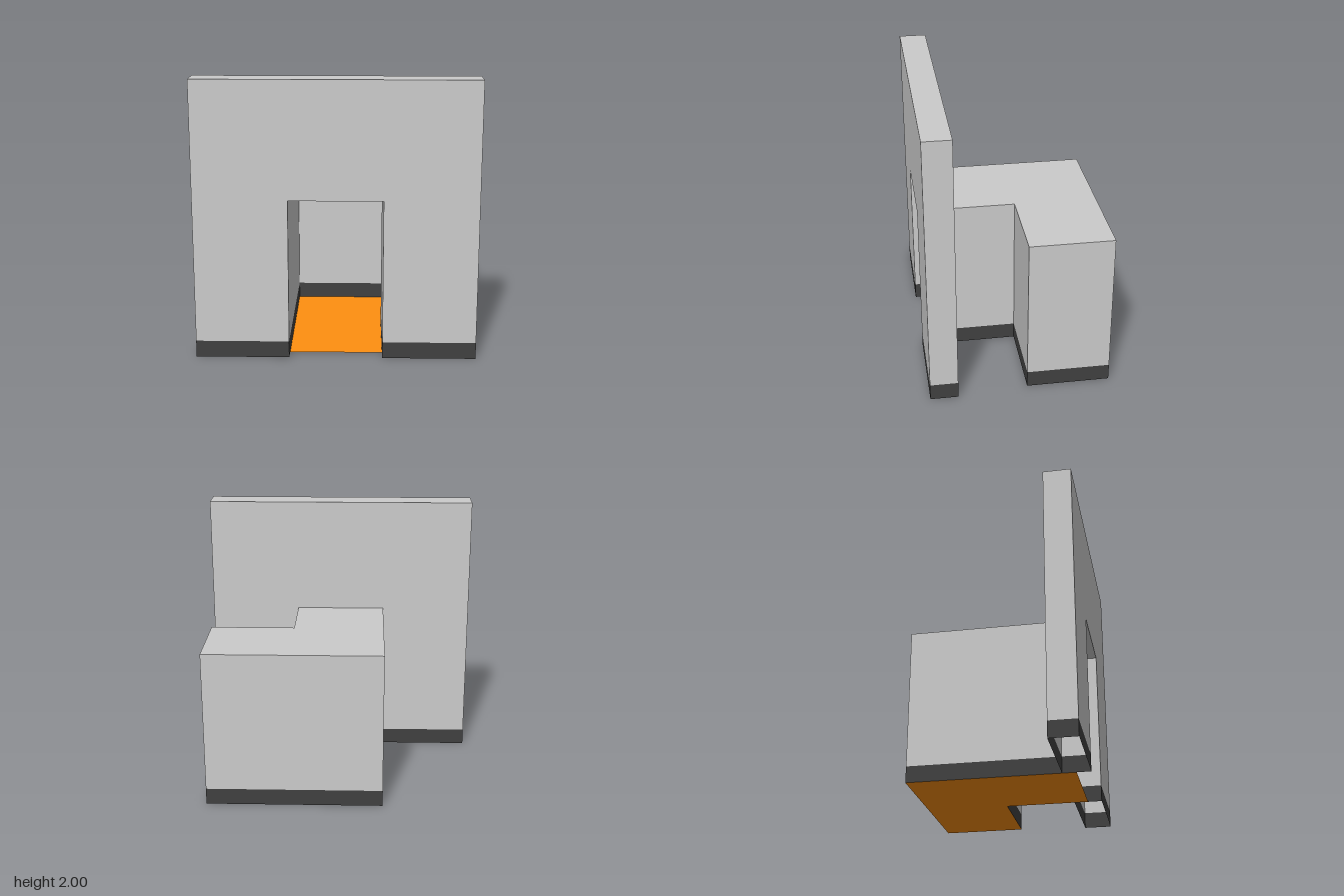
import * as THREE from 'three';

const SKIRT = 0.12, DOOR = 0.333, DOOR_TOP = 1.157, HEIGHT = 2;
const FRONT = 0.65, BACK = 0.45, END = -0.65, INNER = -0.052, SIDE = 0.95;

const mat = (color) => new THREE.MeshStandardMaterial({ color, side: THREE.DoubleSide, flatShading: true });

// Vertical strip of wall standing on a plan path of [x, z] points
function band(path, y0, y1) {
  const pos = [];
  for (let i = 0; i + 1 < path.length; i++) {
    const [ax, az] = path[i], [bx, bz] = path[i + 1];
    pos.push(ax, y0, az, ax, y1, az, bx, y1, bz, ax, y0, az, bx, y1, bz, bx, y0, bz);
  }
  const g = new THREE.BufferGeometry();
  g.setAttribute('position', new THREE.Float32BufferAttribute(pos, 3));
  g.computeVertexNormals();
  return g;
}

// Flat panel in the vertical plane from [x, y] points
const panel = (pts) => new THREE.ShapeGeometry(new THREE.Shape(pts.map(([x, y]) => new THREE.Vector2(x, y))));

// Horizontal slab from [x, z] plan points, facing up
const slab = (plan, y) => panel(plan.map(([x, z]) => [x, -z])).rotateX(-Math.PI / 2).translate(0, y, 0);

export function createModel() {
  const model = new THREE.Group();
  const grey = mat(0xcccccc), dark = mat(0x404040), orange = mat(0xff9010);
  const add = (name, geometry, material) => {
    const mesh = new THREE.Mesh(geometry, material);
    mesh.name = name;
    model.add(mesh);
  };

  // Hollow front wall, open underneath, with a doorway notch
  const facade = [
    [-1, SKIRT], [-DOOR, SKIRT], [-DOOR, DOOR_TOP], [DOOR, DOOR_TOP],
    [DOOR, SKIRT], [1, SKIRT], [1, HEIGHT], [-1, HEIGHT],
  ];
  add('wallFront', panel(facade).translate(0, 0, FRONT), grey);
  add('wallBack', panel(facade).rotateY(Math.PI).translate(0, 0, BACK), grey);
  add('wallTop', slab([[-1, FRONT], [1, FRONT], [1, BACK], [-1, BACK]], HEIGHT), grey);
  add('wallEndRight', band([[-1, FRONT], [-1, BACK]], SKIRT, HEIGHT), grey);
  add('wallEndLeft', band([[1, BACK], [1, FRONT]], SKIRT, HEIGHT), grey);

  // L-shaped passage: walls run on from the door jambs
  const passage = [
    [-DOOR, FRONT], [-DOOR, END], [SIDE, END], [SIDE, INNER], [DOOR, INNER], [DOOR, FRONT],
  ];
  add('passageWalls', band(passage, SKIRT, DOOR_TOP), grey);
  add('passageRoof', slab(passage, DOOR_TOP), grey);

  // Dark skirting round the passage and both piers
  add('passageSkirting', band(passage, 0, SKIRT), dark);
  add('rightPierSkirting', band([[-DOOR, FRONT], [-1, FRONT], [-1, BACK], [-DOOR, BACK]], 0, SKIRT), dark);
  add('leftPierSkirting', band([[DOOR, BACK], [1, BACK], [1, FRONT], [DOOR, FRONT]], 0, SKIRT), dark);

  // Floor stops halfway through the doorway
  const middle = (FRONT + BACK) / 2;
  add('floor', slab(passage.map(([x, z]) => [x, Math.min(z, middle)]), 0), orange);

  return model;
}
